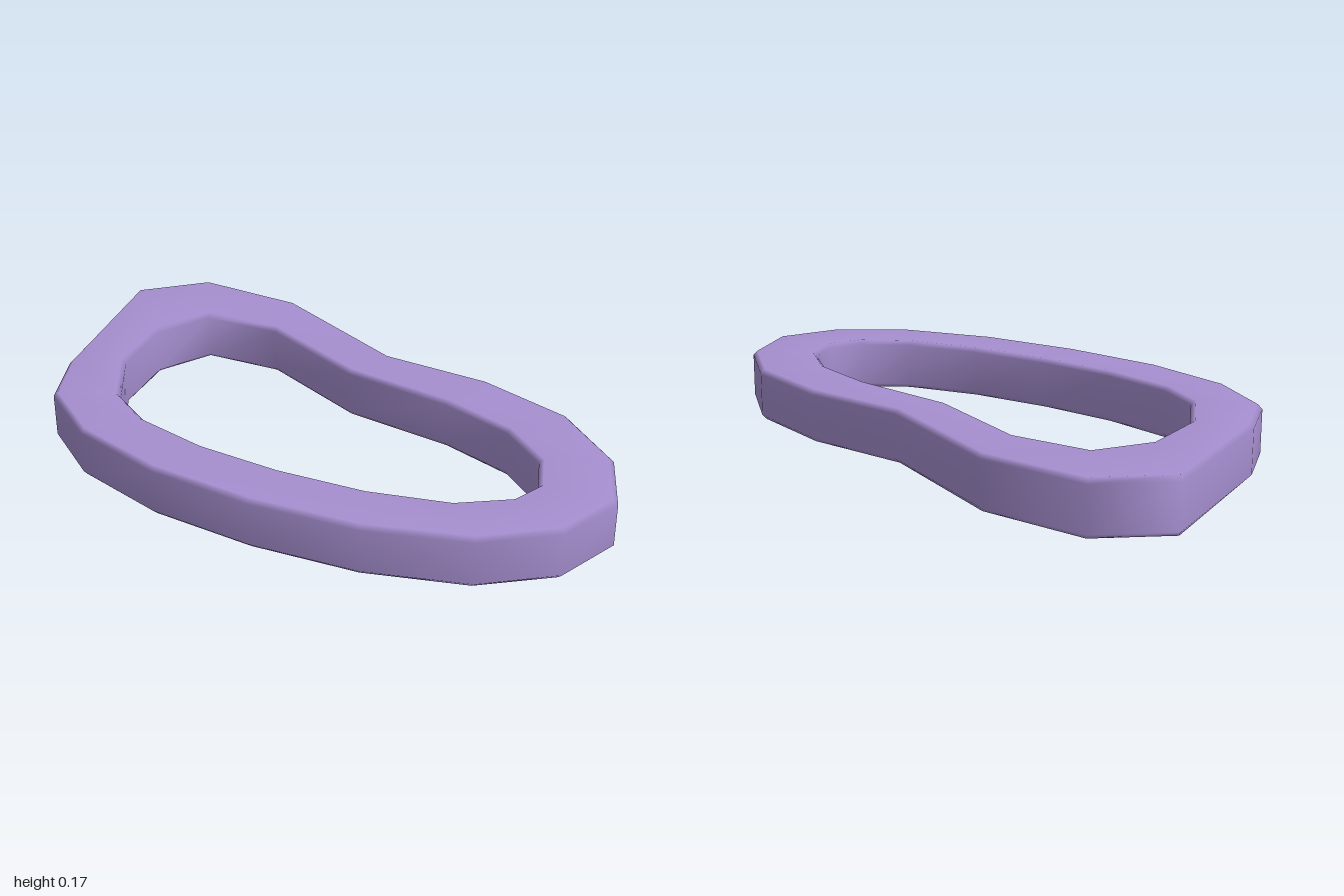
import * as THREE from 'three';

const HEIGHT = 0.172;
const BEVEL = 0.015;

// Matching plan points [x, z] around the outer and inner rims
const OUTER = [
  [-1, -0.44], [-0.81, -0.61], [-0.45, -0.6], [0.03, -0.39],
  [0.39, -0.375], [0.7, -0.28], [0.91, -0.1], [0.995, 0.12],
  [0.91, 0.33], [0.7, 0.485], [0.38, 0.575], [0.03, 0.6],
  [-0.32, 0.575], [-0.63, 0.485], [-0.84, 0.33], [-0.92, 0.12],
];
const INNER = [
  [-0.77, -0.2], [-0.67, -0.375], [-0.41, -0.385], [-0.05, -0.23],
  [0.32, -0.185], [0.56, -0.11], [0.71, 0.01], [0.755, 0.14],
  [0.71, 0.24], [0.56, 0.335], [0.31, 0.39], [0.03, 0.405],
  [-0.24, 0.39], [-0.49, 0.335], [-0.64, 0.24], [-0.75, 0.04],
];

// Closed band: a bevelled rectangular section swept between the two rims
function bandGeometry() {
  const positions = [], indices = [];
  const n = OUTER.length, m = 8;
  const top = HEIGHT, b = BEVEL;
  for (let i = 0; i < n; i++) {
    const out = new THREE.Vector2(...OUTER[i]);
    const inn = new THREE.Vector2(...INNER[i]);
    const w = out.distanceTo(inn);
    // [distance inwards from the outer rim, height]
    const section = [
      [b, 0], [0, b], [0, top - b], [b, top],
      [w - b, top], [w, top - b], [w, b], [w - b, 0],
    ];
    for (const [d, y] of section) {
      const p = out.clone().lerp(inn, d / w);
      positions.push(p.x, y, p.y);
    }
    const next = ((i + 1) % n) * m;
    for (let j = 0; j < m; j++) {
      const k = (j + 1) % m;
      const a = i * m + j, up = i * m + k;
      indices.push(a, up, next + j, up, next + k, next + j);
    }
  }
  const geometry = new THREE.BufferGeometry();
  geometry.setAttribute('position', new THREE.Float32BufferAttribute(positions, 3));
  geometry.setIndex(indices);
  geometry.computeVertexNormals();
  return geometry;
}

export function createModel() {
  const purple = new THREE.MeshStandardMaterial({ color: 0xa68fd0 });
  purple.name = 'soft purple';
  const band = new THREE.Mesh(bandGeometry(), purple);
  band.name = 'ringBand';
  const group = new THREE.Group();
  group.name = 'irregularRing';
  group.add(band);
  return group;
}
